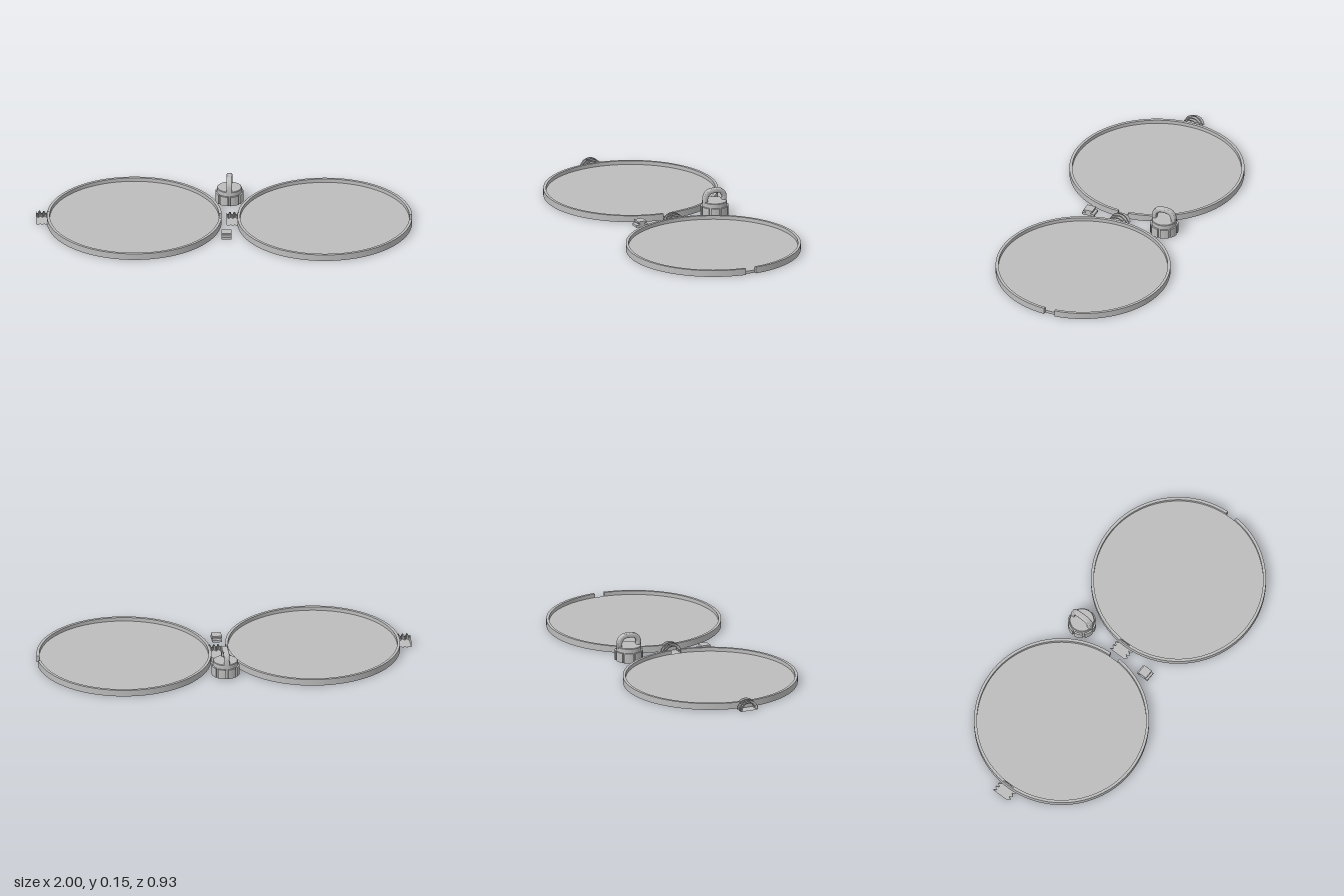
import * as THREE from 'three';
import { toCreasedNormals } from 'three/addons/utils/BufferGeometryUtils.js';

const grey = new THREE.MeshStandardMaterial({ color: 0xbdbdbd });
grey.name = 'matte grey';

function add(parent, name, geometry, x = 0, y = 0, z = 0) {
  const mesh = new THREE.Mesh(toCreasedNormals(geometry, 0.6), grey);
  mesh.name = name;
  mesh.position.set(x, y, z);
  parent.add(mesh);
  return mesh;
}

// Upright wall following an arc between two angles
function arcWall(inner, outer, from, to, height, segments) {
  const s = new THREE.Shape();
  s.absarc(0, 0, outer, from, to, false);
  s.absarc(0, 0, inner, to, from, true);
  const g = new THREE.ExtrudeGeometry(s, { depth: height, bevelEnabled: false, curveSegments: segments });
  return g.rotateX(-Math.PI / 2);
}

// Half-round neck along x with a helical ridge, flat side down
function threadedNeck(length, root, ridge, pitch) {
  const nx = 32, na = 24, pos = [], index = [];
  for (let i = 0; i <= nx; i++) {
    for (let j = 0; j <= na; j++) {
      const x = (i / nx) * length, a = (j / na) * Math.PI;
      const t = (((x / pitch - a / (2 * Math.PI)) % 1) + 1) % 1;
      const bump = Math.min(1, Math.max(0, 1.5 - Math.abs(t - 0.5) * 4));
      const r = root + ridge * bump;
      pos.push(x, r * Math.sin(a), r * Math.cos(a));
    }
  }
  const ring = na + 1;
  for (let i = 0; i < nx; i++) {
    for (let j = 0; j < ring; j++) {
      const a = i * ring + j, b = i * ring + ((j + 1) % ring);
      index.push(a, a + ring, b, b, a + ring, b + ring);
    }
  }
  const last = nx * ring;
  for (let j = 1; j < na; j++) {
    index.push(0, j, j + 1, last, last + j + 1, last + j);
  }
  const g = new THREE.BufferGeometry();
  g.setAttribute('position', new THREE.Float32BufferAttribute(pos, 3));
  // Face outward
  for (let k = 0; k < index.length; k += 3) [index[k + 1], index[k + 2]] = [index[k + 2], index[k + 1]];
  g.setIndex(index);
  g.computeVertexNormals();
  return g;
}

// Shallow round tray with a notched rim and a threaded half neck
function makeTray(name, x) {
  const tray = new THREE.Group();
  tray.name = name;
  tray.position.x = x;
  const gap = 0.063;
  add(tray, 'floor', new THREE.CylinderGeometry(0.45, 0.45, 0.015, 96), 0, 0.0075, 0);
  add(tray, 'notchedRim', arcWall(0.45, 0.465, gap, Math.PI * 2 - gap, 0.035, 96));
  add(tray, 'threadedNeck', threadedNeck(0.065, 0.04, 0.013, 0.023), -0.523, 0, 0);
  return tray;
}

// Arch outline with rounded shoulders
function traceArch(path, w, top, r) {
  path.moveTo(w, 0);
  path.lineTo(w, top - r);
  path.absarc(w - r, top - r, r, 0, Math.PI / 2, false);
  path.absarc(r - w, top - r, r, Math.PI / 2, Math.PI, false);
  path.lineTo(-w, 0);
}

function makeCap() {
  const cap = new THREE.Group();
  cap.name = 'cap';
  cap.position.set(0.025, 0, -0.253);

  // Hollow shell, open underneath
  const profile = [[0, 0.055], [0.055, 0.055], [0.055, 0], [0.066, 0], [0.066, 0.079], [0.063, 0.082], [0, 0.082]];
  add(cap, 'shell', new THREE.LatheGeometry(profile.map(p => new THREE.Vector2(...p)), 48));

  // Grip pads round the skirt
  for (let i = 0; i < 8; i++) {
    const a = (i * Math.PI) / 4 + 0.08;
    add(cap, 'gripPad', arcWall(0.064, 0.075, a, a + Math.PI / 4 - 0.16, 0.052, 6), 0, 0.004, 0);
  }

  // Inner thread rings
  for (const y of [0.014, 0.036]) {
    const ring = new THREE.TorusGeometry(0.055, 0.005, 6, 40).rotateX(Math.PI / 2 + 0.08);
    add(cap, 'innerThread', ring, 0, y, 0);
  }

  // Hanging loop, rounded along its edges
  const arch = new THREE.Shape();
  const bevel = 0.007;
  traceArch(arch, 0.067 - bevel, 0.071 - bevel, 0.044);
  arch.lineTo(-0.042 - bevel, 0);
  arch.lineTo(-0.042 - bevel, 0.046 + bevel - 0.037);
  arch.absarc(-0.012, 0.016, 0.037, Math.PI, Math.PI / 2, true);
  arch.absarc(0.012, 0.016, 0.037, Math.PI / 2, 0, true);
  arch.lineTo(0.042 + bevel, 0);
  const loop = new THREE.ExtrudeGeometry(arch, {
    depth: 0.016, bevelThickness: bevel, bevelSize: bevel, bevelSegments: 3, curveSegments: 16,
  });
  loop.translate(0, 0, -0.008).rotateY(Math.PI / 2);
  add(cap, 'hangingLoop', loop, 0, 0.079, 0);
  return cap;
}

// Small locking clip: wide foot, narrow waist, wider head
function makeClip() {
  const clip = new THREE.Group();
  clip.name = 'lockingClip';
  clip.position.set(0.015, 0, 0.18);
  for (const [name, depth, y, h] of [['foot', 0.07, 0.006, 0.012], ['waist', 0.03, 0.016, 0.01], ['head', 0.05, 0.026, 0.01]]) {
    add(clip, name, new THREE.BoxGeometry(0.052, h, depth), 0, y, 0);
  }
  return clip;
}

export function createModel() {
  const model = new THREE.Group();
  model.name = 'twoPartCase';
  model.add(makeTray('rightTray', -0.477), makeTray('leftTray', 0.535), makeCap(), makeClip());
  return model;
}
